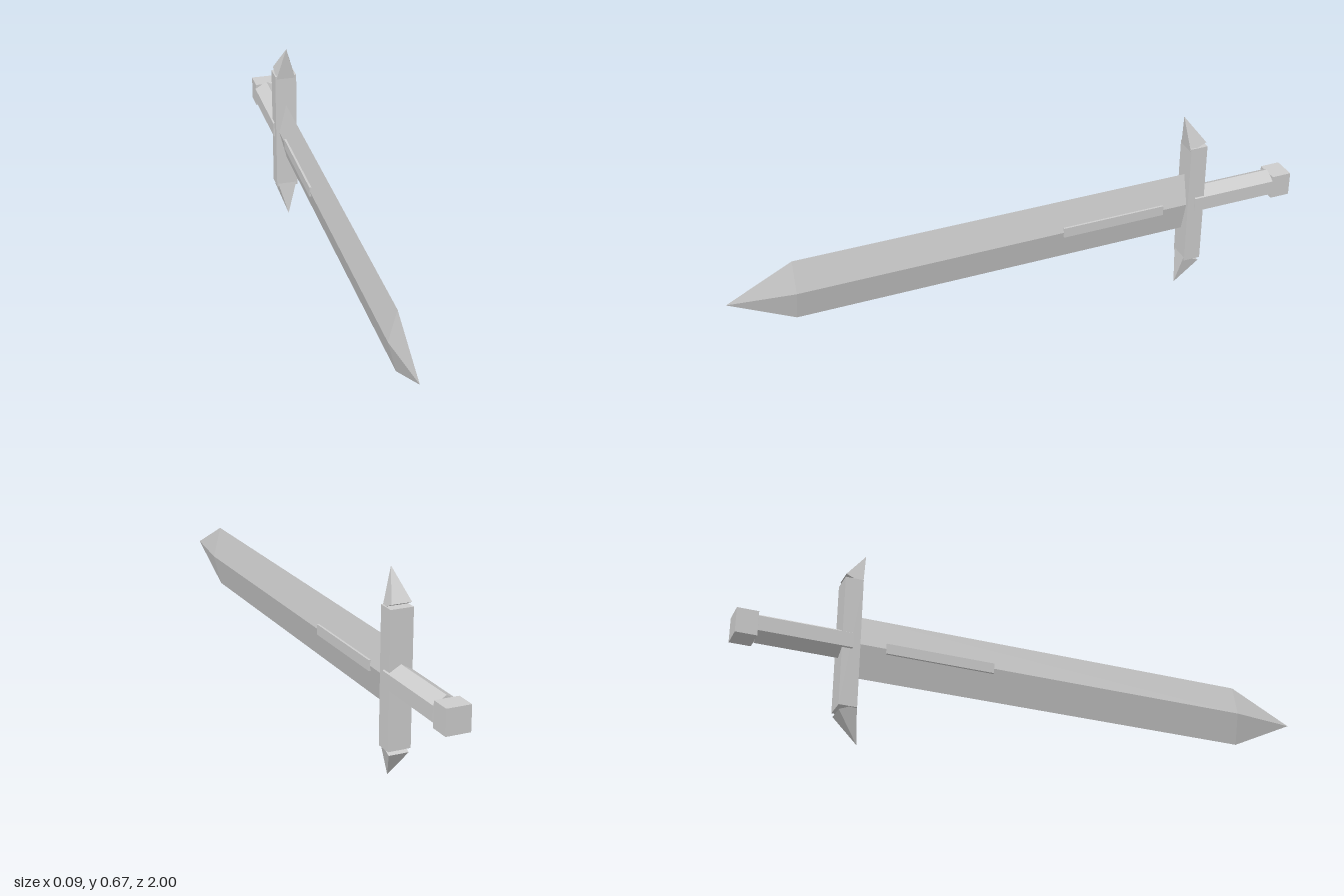
import * as THREE from 'three';

const CY = 0.337; // height of the sword's long axis

// Lofted solid from rings of equal point count (counter-clockwise seen from the last ring)
function loft(rings) {
  const pos = [];
  const n = rings[0].length;
  const tri = (a, b, c) => pos.push(...a, ...b, ...c);
  for (let r = 0; r < rings.length - 1; r++) {
    for (let i = 0; i < n; i++) {
      const j = (i + 1) % n;
      const [a, b, c, d] = [rings[r][i], rings[r][j], rings[r + 1][j], rings[r + 1][i]];
      tri(a, b, c);
      if (c.some((v, k) => v !== d[k])) tri(a, c, d); // skip slivers at an apex
    }
  }
  for (let i = 1; i < n - 1; i++) tri(rings[0][0], rings[0][i + 1], rings[0][i]);
  const g = new THREE.BufferGeometry();
  g.setAttribute('position', new THREE.Float32BufferAttribute(pos, 3));
  g.computeVertexNormals();
  return g;
}

export function createModel() {
  const sword = new THREE.Group();
  sword.name = 'sword';
  const steel = new THREE.MeshStandardMaterial({ color: 0xcccccc });
  steel.name = 'lightGrey';
  steel.flatShading = true;

  const add = (name, geometry, x, y, z) => {
    const mesh = new THREE.Mesh(geometry, steel);
    mesh.name = name;
    mesh.position.set(x, y, z);
    sword.add(mesh);
    return mesh;
  };

  // Blade: diamond section running forward to a point
  const diamond = (w, h, z) => [[w, 0, z], [0, h, z], [-w, 0, z], [0, -h, z]];
  add('blade', loft([
    diamond(0.027, 0.108, -0.61), diamond(0.027, 0.108, 0.78), diamond(0, 0, 1),
  ]), 0, CY, 0);

  // Raised bar through the blade near the guard
  add('bladeInlay', new THREE.BoxGeometry(0.06, 0.035, 0.37), 0, CY, -0.325);

  // Crossguard
  add('guard', new THREE.BoxGeometry(0.077, 0.448, 0.06), 0, CY, -0.63);

  // Guard spikes: tilted pyramids leaning forward, mirrored top and bottom
  const spikeBase = [
    [-0.034, 0.213, -0.6], [0.034, 0.213, -0.6],
    [0.034, 0.238, -0.657], [-0.034, 0.238, -0.657],
  ];
  const apex = [0, 0.334, -0.585];
  add('upperGuardSpike', loft([spikeBase, spikeBase.map(() => apex)]), 0, CY, 0);
  const flip = ([x, y, z]) => [x, -y, z];
  const lowerBase = spikeBase.map(flip).reverse();
  add('lowerGuardSpike', loft([lowerBase, lowerBase.map(() => flip(apex))]), 0, CY, 0);

  // Hexagonal grip with a ridge on top
  const grip = new THREE.CylinderGeometry(0.05, 0.05, 0.305, 6);
  grip.rotateX(Math.PI / 2);
  add('grip', grip, 0, CY + 0.001, -0.7775);

  // Pommel block
  add('pommel', new THREE.BoxGeometry(0.082, 0.084, 0.07), 0, CY, -0.965);

  return sword;
}
